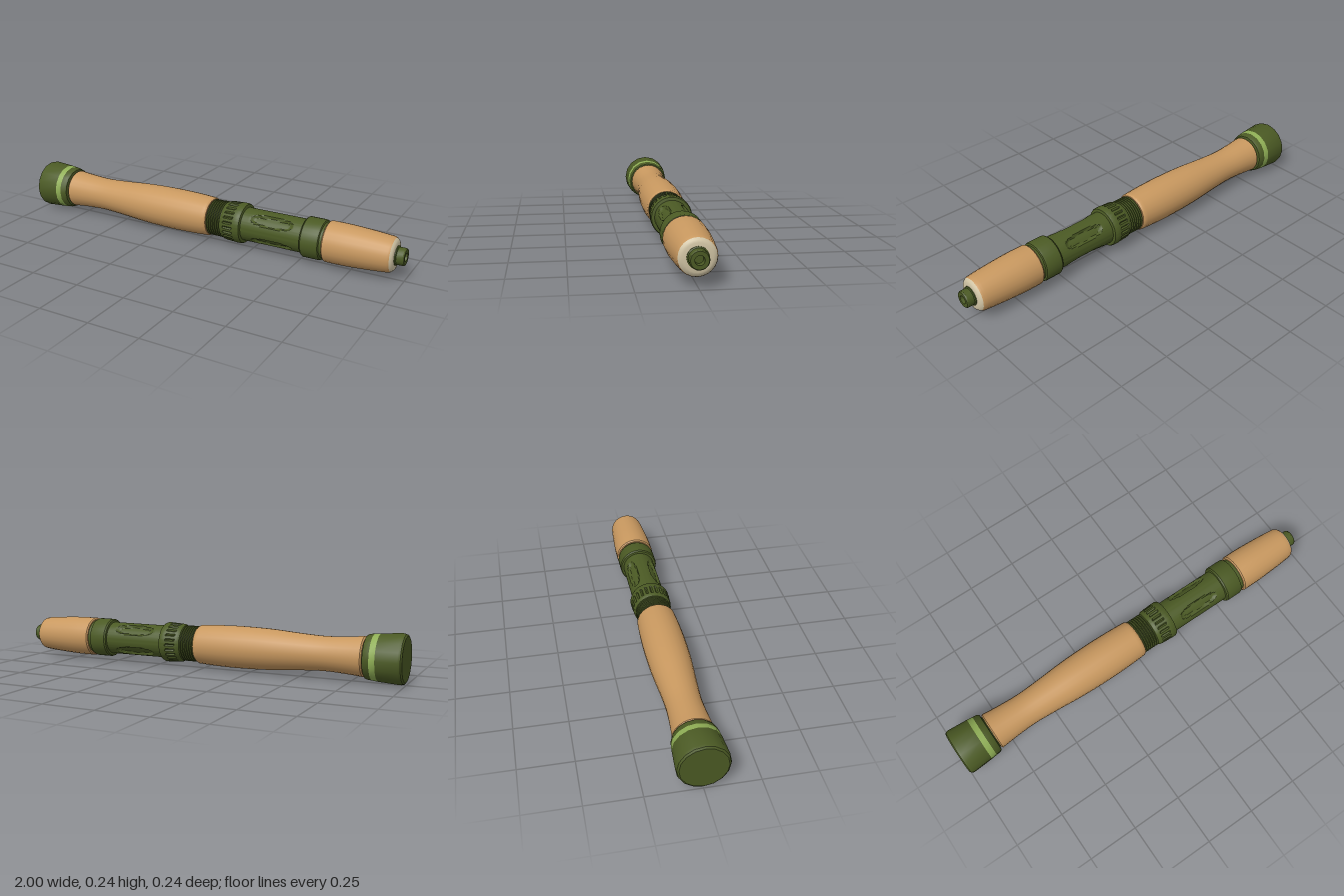
import * as THREE from 'three';
import { toCreasedNormals } from 'three/addons/utils/BufferGeometryUtils.js';

const AXIS_Y = 0.118;

function makeMaterial(name, color) {
  const m = new THREE.MeshStandardMaterial({ color });
  m.name = name;
  return m;
}

// Turned part along x; profile is [x, radius] pairs, carve(x, angle) lowers the surface
function turned(name, material, profile, segments = 32, carve = null, crease = 0.55) {
  let geo = new THREE.LatheGeometry(profile.map(([x, r]) => new THREE.Vector2(r, x)), segments);
  if (carve) {
    const p = geo.attributes.position;
    for (let i = 0; i < p.count; i++) {
      const x = p.getX(i), z = p.getZ(i), r = Math.hypot(x, z);
      if (r < 1e-5) continue;
      const k = (r - carve(p.getY(i), Math.atan2(z, x))) / r;
      p.setX(i, x * k);
      p.setZ(i, z * k);
    }
  }
  geo = toCreasedNormals(geo, crease);
  geo.rotateZ(-Math.PI / 2);
  const mesh = new THREE.Mesh(geo, material);
  mesh.name = name;
  return mesh;
}

// Smooth profile through a few points, closed with flat ends of radius inner
function smoothProfile(points, steps) {
  const curve = new THREE.SplineCurve(points.map(([x, r]) => new THREE.Vector2(x, r)));
  return curve.getPoints(steps).map((v) => [v.x, v.y]);
}

export function createModel() {
  const green = makeMaterial('olive green', 0x4b5a24);
  const lime = makeMaterial('light green', 0x8fae55);
  const cork = makeMaterial('cork', 0xc8985f);
  const cream = makeMaterial('cream', 0xd2c5a5);

  const group = new THREE.Group();
  group.name = 'rodHandle';
  const add = (...args) => group.add(turned(...args));

  // Butt cap with its light band
  add('buttCap', green, [[-1, 0], [-1, 0.106], [-0.994, 0.114], [-0.982, 0.118], [-0.88, 0.111]], 16);
  add('buttBand', lime, [[-0.88, 0.111], [-0.852, 0.108]], 16);
  add('buttRim', green, [[-0.852, 0.108], [-0.83, 0.105], [-0.82, 0.1], [-0.818, 0.083], [-0.805, 0.083]], 16);

  // Long rear grip
  add('rearGrip', cork, [
    [-0.814, 0.07], [-0.814, 0.088],
    ...smoothProfile([[-0.808, 0.094], [-0.73, 0.087], [-0.62, 0.082], [-0.5, 0.088], [-0.35, 0.099],
      [-0.2, 0.103], [-0.08, 0.101], [0.015, 0.096]], 28),
    [0.024, 0.09], [0.024, 0.07],
  ], 24);

  // Threaded barrel
  const thread = [[0.02, 0.08]];
  for (let i = 0; i < 7; i++) {
    const x = 0.026 + i * 0.012;
    thread.push([x, 0.081], [x + 0.003, 0.089], [x + 0.007, 0.089], [x + 0.01, 0.081]);
  }
  thread.push([0.115, 0.081]);
  add('thread', green, thread, 32);

  // Locking nut with grooves around its middle
  const nutCarve = (x, a) => {
    const step = Math.round(((a + Math.PI) / (Math.PI * 2)) * 96) % 4;
    return x > 0.125 && x < 0.172 && step === 0 ? 0.006 : 0;
  };
  add('lockingNut', green, [
    [0.104, 0.075], [0.104, 0.088], [0.114, 0.094], [0.122, 0.095], [0.127, 0.096], [0.17, 0.098],
    [0.175, 0.099], [0.2, 0.099], [0.209, 0.095], [0.213, 0.075],
  ], 96, nutCarve, 0.5);

  // Reel seat with four oval hollows on the diagonals
  const seatCarve = (x, a) => {
    const quarter = Math.PI / 2;
    const off = a - (Math.floor(a / quarter) + 0.5) * quarter;
    const d = Math.pow(Math.abs((x - 0.367) / 0.112), 2.5) + Math.pow(Math.abs(off / 0.37), 2.5);
    return 0.013 * THREE.MathUtils.smoothstep(1 - d, 0, 0.45);
  };
  const seat = [];
  for (let i = 0; i <= 48; i++) seat.push([0.205 + (i / 48) * 0.325, 0.081]);
  add('reelSeat', green, seat, 80, seatCarve, 0.4);

  // Fixed hood and the neck behind the fore grip
  add('hood', green, [
    [0.52, 0.078], [0.522, 0.092], [0.529, 0.097], [0.604, 0.097], [0.613, 0.094], [0.616, 0.086],
    [0.635, 0.086],
  ], 32);

  // Fore grip with a cream rounded end
  add('foreGrip', cork, [
    [0.63, 0.075], [0.63, 0.092],
    ...smoothProfile([[0.636, 0.098], [0.72, 0.098], [0.82, 0.093], [0.9, 0.087], [0.936, 0.083]], 16),
    [0.945, 0.079],
  ], 24);
  add('foreGripEnd', cream, [[0.945, 0.079], [0.953, 0.071], [0.957, 0.06], [0.958, 0.035]], 24);

  // Hollow tip ferrule
  add('tipFerrule', green, [
    [0.95, 0.046], [0.962, 0.046], [0.965, 0.041], [0.994, 0.041], [1, 0.037], [1, 0.02],
    [0.975, 0.018], [0.975, 0],
  ], 20);

  group.position.y = AXIS_Y;
  const root = new THREE.Group();
  root.name = 'model';
  root.add(group);
  return root;
}
